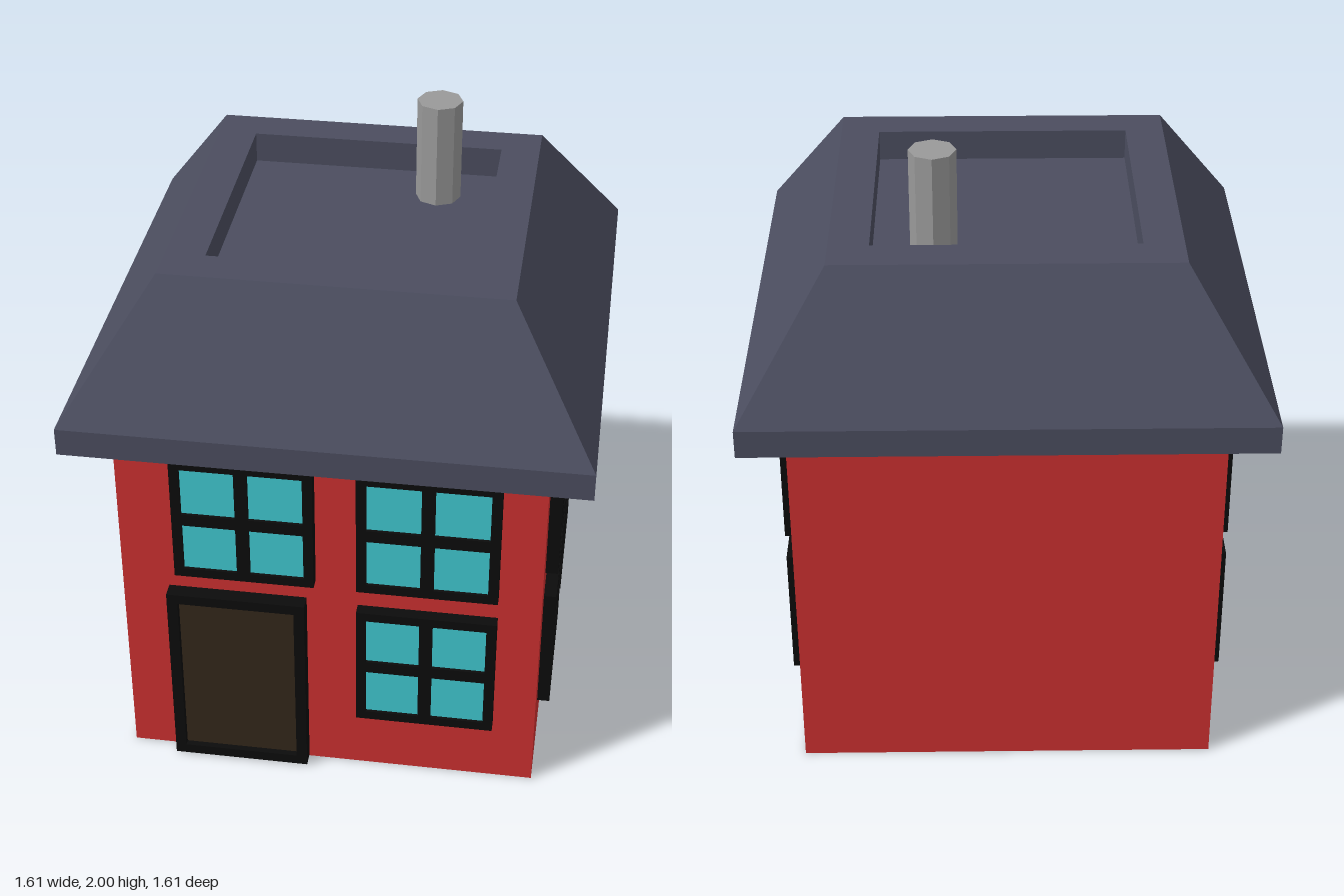
import * as THREE from 'three';

const mat = (color, flatShading = false) => new THREE.MeshStandardMaterial({ color, flatShading });

function part(name, geometry, material, x = 0, y = 0, z = 0) {
  const mesh = new THREE.Mesh(geometry, material);
  mesh.name = name;
  mesh.position.set(x, y, z);
  return mesh;
}

// Rectangle outline, centred on (x, y)
function rect(Type, x, y, w, h) {
  const r = new Type();
  r.moveTo(x - w / 2, y - h / 2);
  r.lineTo(x + w / 2, y - h / 2);
  r.lineTo(x + w / 2, y + h / 2);
  r.lineTo(x - w / 2, y + h / 2);
  r.closePath();
  return r;
}

// Frame with rectangular openings [x, y, w, h], its back at z = 0
function frameGeometry(w, h, depth, openings) {
  const shape = rect(THREE.Shape, 0, 0, w, h);
  for (const o of openings) shape.holes.push(rect(THREE.Path, ...o));
  return new THREE.ExtrudeGeometry(shape, { depth, bevelEnabled: false });
}

export function createModel() {
  const house = new THREE.Group();
  house.name = 'house';
  const red = mat(0xcc3030), slate = mat(0x4b4d5f, true), black = mat(0x0b0b0b);
  const glass = mat(0x40c8d0), wood = mat(0x33271a), grey = mat(0x999999, true);
  const half = 0.67;

  // Walls
  house.add(part('walls', new THREE.BoxGeometry(2 * half, 1.265, 2 * half), red, 0, 0.6325, 0));

  // Square roof: eave, slope, flat rim and sunken top
  const profile = [[0, 1.265], [0.805, 1.265], [0.805, 1.355], [0.535, 1.76],
    [0.41, 1.76], [0.41, 1.66], [0, 1.66]]
    .map(([r, y]) => new THREE.Vector2(r * Math.SQRT2, y));
  house.add(part('roof', new THREE.LatheGeometry(profile, 4, Math.PI / 4), slate));

  // Chimney
  house.add(part('chimney', new THREE.CylinderGeometry(0.073, 0.073, 0.35, 8), grey, 0.22, 1.825, -0.255));

  // Four-pane windows
  const panes = [];
  for (const sx of [-1, 1]) for (const sy of [-1, 1]) panes.push([sx * 0.106, sy * 0.106, 0.17, 0.17]);
  const windowFrame = frameGeometry(0.445, 0.445, 0.04, panes);
  const windowGlass = new THREE.BoxGeometry(0.42, 0.42, 0.03);

  function addWindow(wall, x, y) {
    const g = new THREE.Group();
    g.name = 'window';
    g.add(part('windowFrame', windowFrame, black), part('windowGlass', windowGlass, glass, 0, 0, 0.015));
    g.position.set(x, y, half);
    wall.add(g);
  }

  function addWall(name, angle) {
    const wall = new THREE.Group();
    wall.name = name;
    wall.rotation.y = angle;
    house.add(wall);
    return wall;
  }

  // Front wall: three windows and the door
  const front = addWall('frontOpenings', 0);
  addWindow(front, -0.267, 0.983);
  addWindow(front, 0.312, 0.983);
  addWindow(front, 0.312, 0.453);

  const door = new THREE.Group();
  door.name = 'door';
  door.add(
    part('doorFrame', frameGeometry(0.445, 0.68, 0.05, [[0, 0, 0.375, 0.61]]), black),
    part('doorPanel', new THREE.BoxGeometry(0.41, 0.64, 0.03), wood, 0, 0, 0.015));
  door.position.set(-0.297, 0.346, half);
  front.add(door);

  // Side walls: four windows each, mirrored left and right
  for (const s of [1, -1]) {
    const wall = addWall(s > 0 ? 'leftWindows' : 'rightWindows', s * Math.PI / 2);
    addWindow(wall, s * -0.307, 0.983);
    addWindow(wall, s * 0.272, 0.983);
    addWindow(wall, s * -0.307, 0.443);
    addWindow(wall, s * 0.272, 0.453);
  }

  return house;
}
